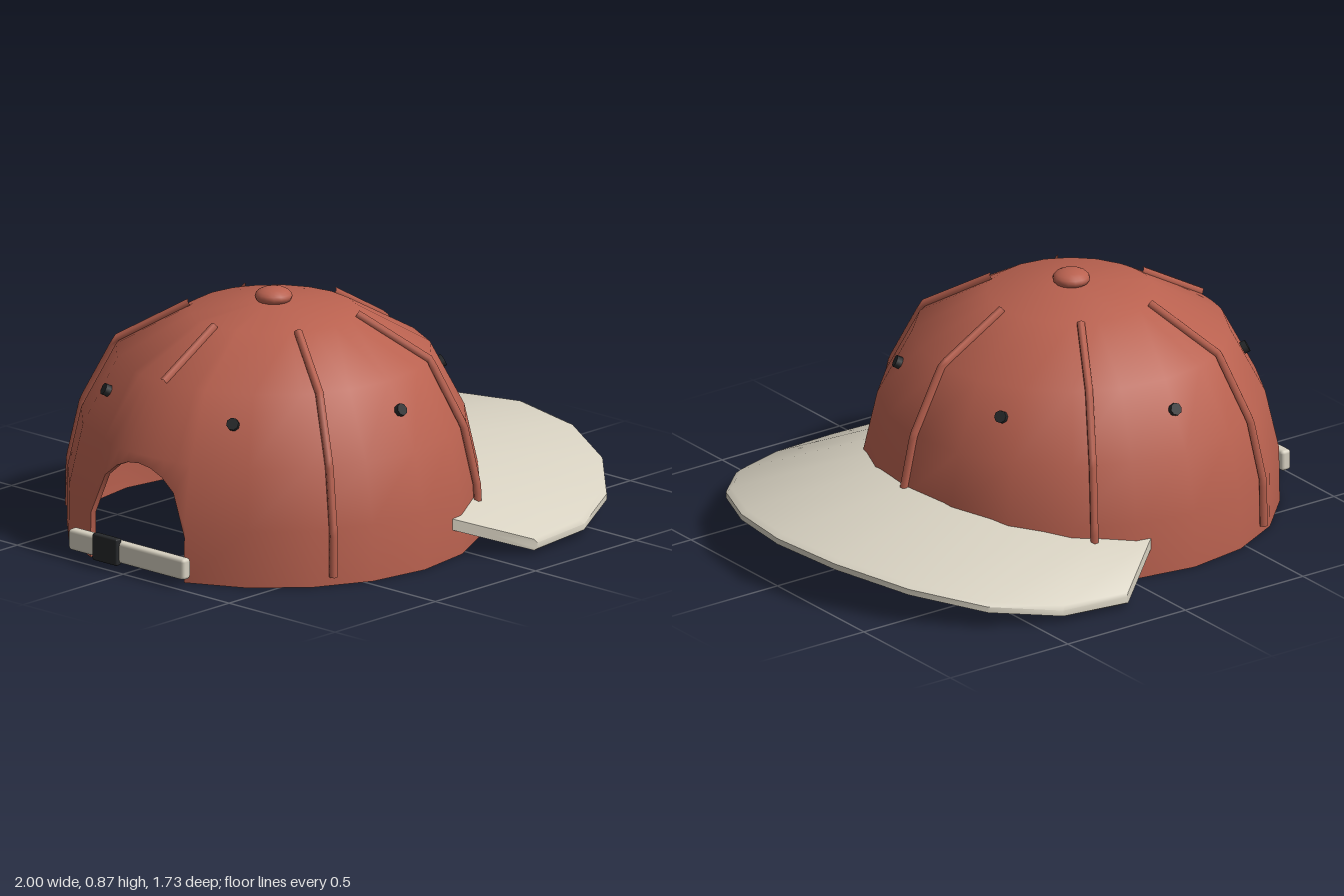
import * as THREE from 'three';
import { mergeVertices, toCreasedNormals } from 'three/addons/utils/BufferGeometryUtils.js';
import { RoundedBoxGeometry } from 'three/addons/geometries/RoundedBoxGeometry.js';

const CX = -0.25; // crown axis
const PROFILE = [[0.715, 0], [0.712, 0.2], [0.665, 0.41], [0.545, 0.64], [0.29, 0.785], [0, 0.825]];
const rad = THREE.MathUtils.degToRad;

const polar = (r, y, a) => new THREE.Vector3(CX + r * Math.cos(a), y, r * Math.sin(a));

// Crown radius at a height
function radiusAt(y) {
  for (let i = 1; i < PROFILE.length; i++) {
    const [r0, y0] = PROFILE[i - 1], [r1, y1] = PROFILE[i];
    if (y <= y1) return r0 + (r1 - r0) * (y - y0) / (y1 - y0);
  }
  return 0;
}

// Surface through a list of point columns
function grid(columns, flip = false) {
  const n = columns[0].length, index = [];
  for (let i = 0; i < columns.length - 1; i++) {
    for (let j = 0; j < n - 1; j++) {
      const a = i * n + j, b = a + 1, c = a + n, d = c + 1;
      if (flip) index.push(a, c, b, b, c, d);
      else index.push(a, b, c, b, d, c);
    }
  }
  let geo = new THREE.BufferGeometry().setFromPoints(columns.flat());
  geo.setIndex(index);
  geo = mergeVertices(geo, 1e-5);
  geo.computeVertexNormals();
  return geo;
}

export function createModel() {
  const group = new THREE.Group();
  const material = (name, color) => {
    const m = new THREE.MeshStandardMaterial({ color });
    m.name = name;
    return m;
  };
  const red = material('brick red cloth', 0xb9614f);
  const cream = material('cream cloth', 0xd6d0c0);
  const dark = material('dark metal', 0x26282a);
  const add = (name, geo, mat, parent = group) => {
    const mesh = new THREE.Mesh(geo, mat);
    mesh.name = name;
    parent.add(mesh);
    return mesh;
  };

  // Crown: twenty-sided dome with an arched opening at the back (-x)
  const stations = [];
  for (let k = -9; k <= 9; k++) stations.push([rad(k * 18), 0]);
  for (let k = 0; k <= 8; k++) {
    const t = k / 4 - 1;
    stations.push([rad(180 + 18 * t), 0.16 + 0.22 * Math.sqrt(1 - t * t)]);
  }
  stations.push([rad(198), 0]);
  const shell = inset => stations.map(([a, low]) => PROFILE.map(([, py]) => {
    const y = Math.max(py, low);
    const lift = py > 0.5 ? inset * 0.8 : 0;
    return polar(Math.max(0, radiusAt(y) - inset), y - lift, a);
  }));
  const outer = shell(0), inner = shell(0.02);
  const crown = new THREE.Group();
  crown.name = 'crown';
  group.add(crown);
  add('crownOutside', grid(outer), red, crown);
  add('crownLining', grid(inner, true), red, crown);
  add('crownRim', toCreasedNormals(grid(outer.map((c, i) => [inner[i][0], c[0]])), 0.6), red, crown);

  // Raised seams between the six panels
  for (let k = 0; k < 6; k++) {
    const low = k === 0 ? 0.1 : k === 3 ? 0.64 : 0.03;
    const a = rad(k * 60);
    const heights = [low, ...PROFILE.map(p => p[1]).filter(y => y > low && y < 0.8)];
    const points = heights.map(y => polar(radiusAt(y) + 0.005, y + 0.003, a));
    const path = new THREE.CurvePath();
    for (let i = 1; i < points.length; i++) path.add(new THREE.LineCurve3(points[i - 1], points[i]));
    add('seam', new THREE.TubeGeometry(path, 32, 0.015, 6), red);
  }

  // Eyelets
  const up = new THREE.Vector3(0, 1, 0);
  for (let k = 0; k < 6; k++) {
    const a = rad(30 + k * 60);
    const eyelet = add('eyelet', new THREE.CylinderGeometry(0.022, 0.022, 0.03, 8), dark);
    eyelet.position.copy(polar(radiusAt(0.545), 0.545, a));
    const normal = new THREE.Vector3(0.887 * Math.cos(a), 0.46, 0.887 * Math.sin(a));
    eyelet.quaternion.setFromUnitVectors(up, normal.normalize());
  }

  // Top button
  const button = add('topButton', new THREE.SphereGeometry(0.065, 16, 10), red);
  button.scale.y = 0.5;
  button.position.set(CX, 0.833, 0);

  // Brim: curved plate lofted from the crown to the outer outline
  const half = [[1.0, 0], [0.955, 0.27], [0.83, 0.53], [0.64, 0.73], [0.405, 0.845], [0.15, 0.867]];
  const outline = [...half.slice(1).reverse().map(([x, z]) => [x, -z]), ...half];
  const sections = outline.map(([x, z], i) => {
    const a = rad(77 * (i - 5) / 5);
    const top0 = polar(0.697, 0, a);
    top0.y = 0.235 - 0.2 * top0.z ** 2;
    const edge = new THREE.Vector3(x, 0.185 - 0.18 * z * z, z);
    const top1 = top0.clone().lerp(edge, 0.96);
    const drop = (p, d) => p.clone().setY(p.y - d);
    return [drop(top0, 0.04), drop(top1, 0.04), drop(edge, 0.03), drop(edge, 0.009), top1, top0, drop(top0, 0.04)];
  });
  // Close both ends by collapsing them to a point
  const cap = s => s.map(() => s[0].clone().add(s[4]).multiplyScalar(0.5));
  const brim = grid([cap(sections[0]), ...sections, cap(sections[10])]);
  add('brim', toCreasedNormals(brim, 0.8), cream);

  // Back strap and buckle
  add('backStrap', new RoundedBoxGeometry(0.04, 0.075, 0.545, 2, 0.012), cream).position.set(-0.965, 0.065, -0.003);
  add('strapBuckle', new RoundedBoxGeometry(0.027, 0.095, 0.115, 2, 0.006), dark).position.set(-0.986, 0.068, -0.09);

  return group;
}
